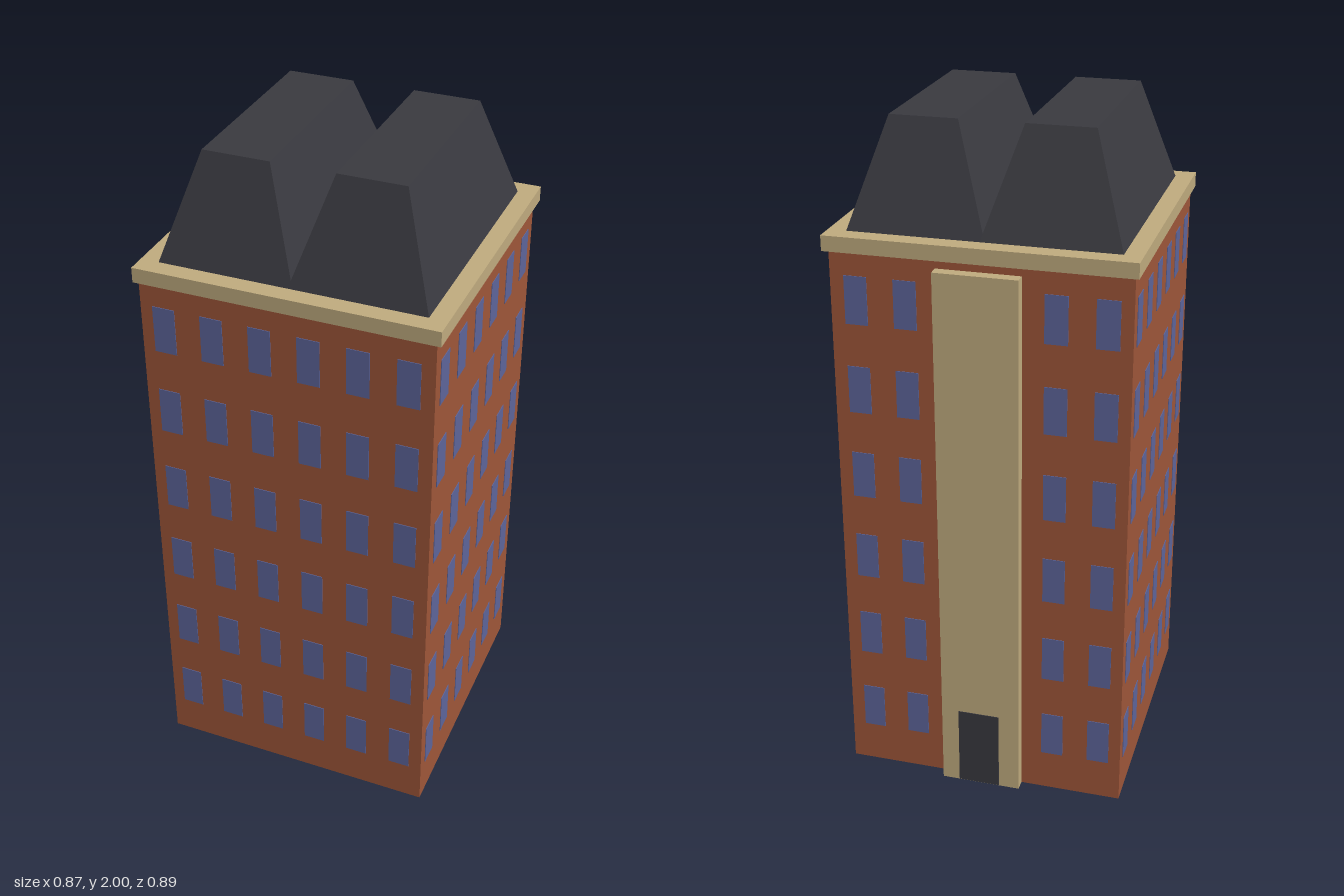
import * as THREE from 'three';

const mat = (name, color) => {
  const m = new THREE.MeshStandardMaterial({ color });
  m.name = name;
  return m;
};

export function createModel() {
  const brick = mat('brick', 0xa0573a);
  const stone = mat('stone', 0xc2ad80);
  const slate = mat('slate', 0x3a3a40);
  const glass = mat('glass', 0x5f669c);

  const model = new THREE.Group();
  model.name = 'apartmentBlock';

  // Box given by its minimum and maximum corners
  const box = (name, material, x0, x1, y0, y1, z0, z1, parent = model) => {
    const mesh = new THREE.Mesh(new THREE.BoxGeometry(x1 - x0, y1 - y0, z1 - z0), material);
    mesh.position.set((x0 + x1) / 2, (y0 + y1) / 2, (z0 + z1) / 2);
    mesh.name = name;
    parent.add(mesh);
    return mesh;
  };

  // Brick shell, open underneath
  const L = -0.422, R = 0.418, B = -0.408, F = 0.432, H = 1.656, T = 0.02;
  box('frontWall', brick, L, R, 0, H, F - T, F);
  box('backWall', brick, L, R, 0, H, B, B + T);
  box('rightWall', brick, L, L + T, 0, H, B + T, F - T);
  box('leftWall', brick, R - T, R, 0, H, B + T, F - T);

  // Ground floor ceiling and room partitions with door gaps
  box('ceiling', brick, L + T, R - T, 0.27, 0.29, B + T, F - T);
  const rooms = new THREE.Group();
  rooms.name = 'partitions';
  model.add(rooms);
  for (const x of [-0.14, 0.14]) {
    for (const [z0, z1] of [[B + T, -0.25], [-0.15, 0.17], [0.27, F - T]]) {
      box('corridorWall', brick, x - 0.01, x + 0.01, 0, 0.27, z0, z1, rooms);
    }
    box('doorLintel', brick, x - 0.01, x + 0.01, 0.2, 0.27, B + T, F - T, rooms);
  }
  box('roomDivider', brick, L + T, -0.15, 0, 0.27, 0.0, 0.02, rooms);
  box('roomDivider', brick, 0.15, R - T, 0, 0.27, 0.0, 0.02, rooms);

  // Windows: six storeys of six columns, the back leaving room for the stair tower
  const windows = new THREE.Group();
  windows.name = 'windows';
  model.add(windows);
  const W = 0.0325, D = 0.002;
  for (let row = 0; row < 6; row++) {
    const y0 = 0.125 + row * 0.2645, y1 = y0 + 0.14;
    for (let col = 0; col < 6; col++) {
      const offset = (col - 2.5) * 0.14;
      const x = offset - 0.004, z = offset + 0.013;
      box('frontWindow', glass, x - W, x + W, y0, y1, F - D, F + D, windows);
      box('rightWindow', glass, L - D, L + D, y0, y1, z - W, z + W, windows);
      box('leftWindow', glass, R - D, R + D, y0, y1, z - W, z + W, windows);
      if (col < 2 || col > 3) {
        box('backWindow', glass, x - W, x + W, y0, y1, B - D, B + D, windows);
      }
    }
  }

  // Stair tower with the entrance on the back
  box('stairTower', stone, -0.12, 0.118, 0, 1.63, -0.442, B);
  box('entranceDoor', slate, -0.058, 0.066, 0.002, 0.25, -0.444, -0.44);

  // Cornice slab
  box('cornice', stone, -0.434, 0.432, 1.656, 1.7, -0.425, 0.443);

  // Twin mansard roofs: a box whose top corners are drawn inwards
  const roof = (name, bx0, bx1, tx0, tx1) => {
    let g = new THREE.BoxGeometry(1, 1, 1);
    const p = g.attributes.position;
    for (let i = 0; i < p.count; i++) {
      const top = p.getY(i) > 0, right = p.getX(i) > 0, front = p.getZ(i) > 0;
      const x = top ? (right ? tx1 : tx0) : (right ? bx1 : bx0);
      const z = top ? (front ? 0.293 : -0.273) : (front ? 0.389 : -0.37);
      p.setXYZ(i, x, top ? 2 : 1.7, z);
    }
    g.computeVertexNormals();
    const mesh = new THREE.Mesh(g, slate);
    mesh.name = name;
    model.add(mesh);
  };
  roof('rightRoof', -0.381, 0.006, -0.284, -0.092);
  roof('leftRoof', -0.008, 0.379, 0.09, 0.282);

  return model;
}
